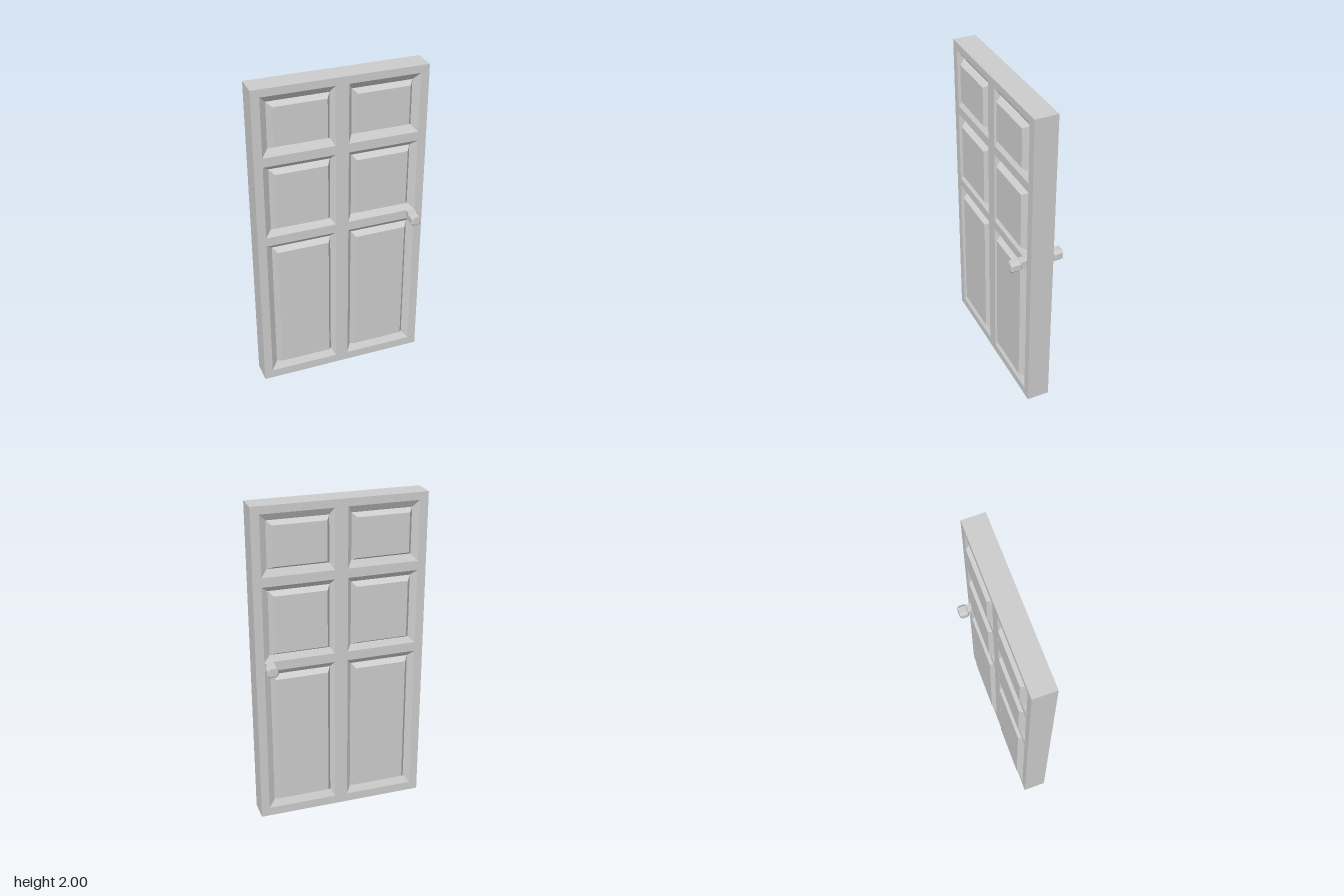
import * as THREE from 'three';

const W = 0.526, H = 2, FRONT = 0.066, BACK = 0.075;

// A rectangle is [x0, y0, x1, y1]; its corners run counter-clockwise.
const corners = ([x0, y0, x1, y1]) => [[x0, y0], [x1, y0], [x1, y1], [x0, y1]];

// Four flat faces joining rectangle a at depth za to rectangle b at depth zb
function ring(a, za, b, zb) {
  const A = corners(a), B = corners(b), pos = [];
  for (let i = 0; i < 4; i++) {
    const j = (i + 1) % 4;
    const p = [...A[i], za], q = [...A[j], za], r = [...B[j], zb], s = [...B[i], zb];
    pos.push(...p, ...q, ...r, ...p, ...r, ...s);
  }
  const g = new THREE.BufferGeometry();
  g.setAttribute('position', new THREE.Float32BufferAttribute(pos, 3));
  g.computeVertexNormals();
  return g;
}

function rectShape(r) {
  return new THREE.Shape(corners(r).map(([x, y]) => new THREE.Vector2(x, y)));
}

export function createModel() {
  const door = new THREE.Group();
  door.name = 'door';
  const grey = new THREE.MeshStandardMaterial({ color: 0xcccccc });
  grey.name = 'door grey';

  const add = (parent, geometry, name, z = 0) => {
    const m = new THREE.Mesh(geometry, grey);
    m.name = name;
    m.position.z = z;
    parent.add(m);
    return m;
  };

  // Rows: recess edge, groove and raised field, each as bottom and top
  const rows = [
    { recess: [0.056, 1.005], groove: [0.102, 0.973], field: [0.125, 0.95] },
    { recess: [1.063, 1.53], groove: [1.1, 1.498], field: [1.122, 1.475] },
    { recess: [1.587, 1.953], groove: [1.63, 1.911], field: [1.65, 1.89] },
  ];
  const columns = { recess: [0.04, 0.474], groove: [0.066, 0.435], field: [0.09, 0.408] };

  const rect = (row, key, side) => {
    const [a, b] = columns[key], [y0, y1] = row[key];
    return side > 0 ? [a, y0, b, y1] : [-b, y0, -a, y1];
  };

  // Edge faces of the slab
  const outline = [-W, 0, W, H];
  add(door, ring(outline, -BACK, outline, FRONT), 'slabEdges');

  // One panelled face looking along +z
  function panelFace(name, faceZ, fieldZ) {
    const face = new THREE.Group();
    face.name = name;
    const grooveZ = fieldZ - 0.038;
    const frame = rectShape(outline);
    for (const row of rows) for (const side of [-1, 1]) {
      const recess = rect(row, 'recess', side);
      const groove = rect(row, 'groove', side);
      const field = rect(row, 'field', side);
      frame.holes.push(rectShape(recess));
      add(face, ring(recess, faceZ, groove, grooveZ), 'recessSlope');
      add(face, ring(groove, grooveZ, field, fieldZ), 'panelBevel');
      add(face, new THREE.ShapeGeometry(rectShape(field)), 'panelField', fieldZ);
    }
    add(face, new THREE.ShapeGeometry(frame), 'frame', faceZ);
    door.add(face);
    return face;
  }
  panelFace('frontFace', FRONT, 0.075);
  panelFace('backFace', BACK, 0.091).rotation.y = Math.PI;

  // Chamfered block knob on a short stem
  function knob(name, w, faceZ, z0, z1) {
    const g = new THREE.Group();
    g.name = name;
    const b = 0.012, c = 0.01, x = w / 2 - b, y = 0.036 - b;
    const shape = new THREE.Shape([
      [-x + c, -y], [x - c, -y], [x, -y + c], [x, y - c],
      [x - c, y], [-x + c, y], [-x, y - c], [-x, -y + c],
    ].map(p => new THREE.Vector2(...p)));
    const head = new THREE.ExtrudeGeometry(shape, {
      depth: z1 - z0 - 2 * b, bevelEnabled: true,
      bevelSize: b, bevelThickness: b, bevelSegments: 2,
    });
    add(g, head, 'knobHead', z0 + b);
    const stem = z0 + 0.01 - faceZ + 0.02;
    add(g, new THREE.BoxGeometry(0.05, 0.055, stem), 'knobStem', faceZ - 0.02 + stem / 2);
    g.position.set(0.445, 1.035, 0);
    door.add(g);
    return g;
  }
  knob('frontKnob', 0.062, FRONT, 0.092, 0.163);
  knob('backKnob', 0.072, BACK, 0.107, 0.165).rotation.y = Math.PI;

  return door;
}
